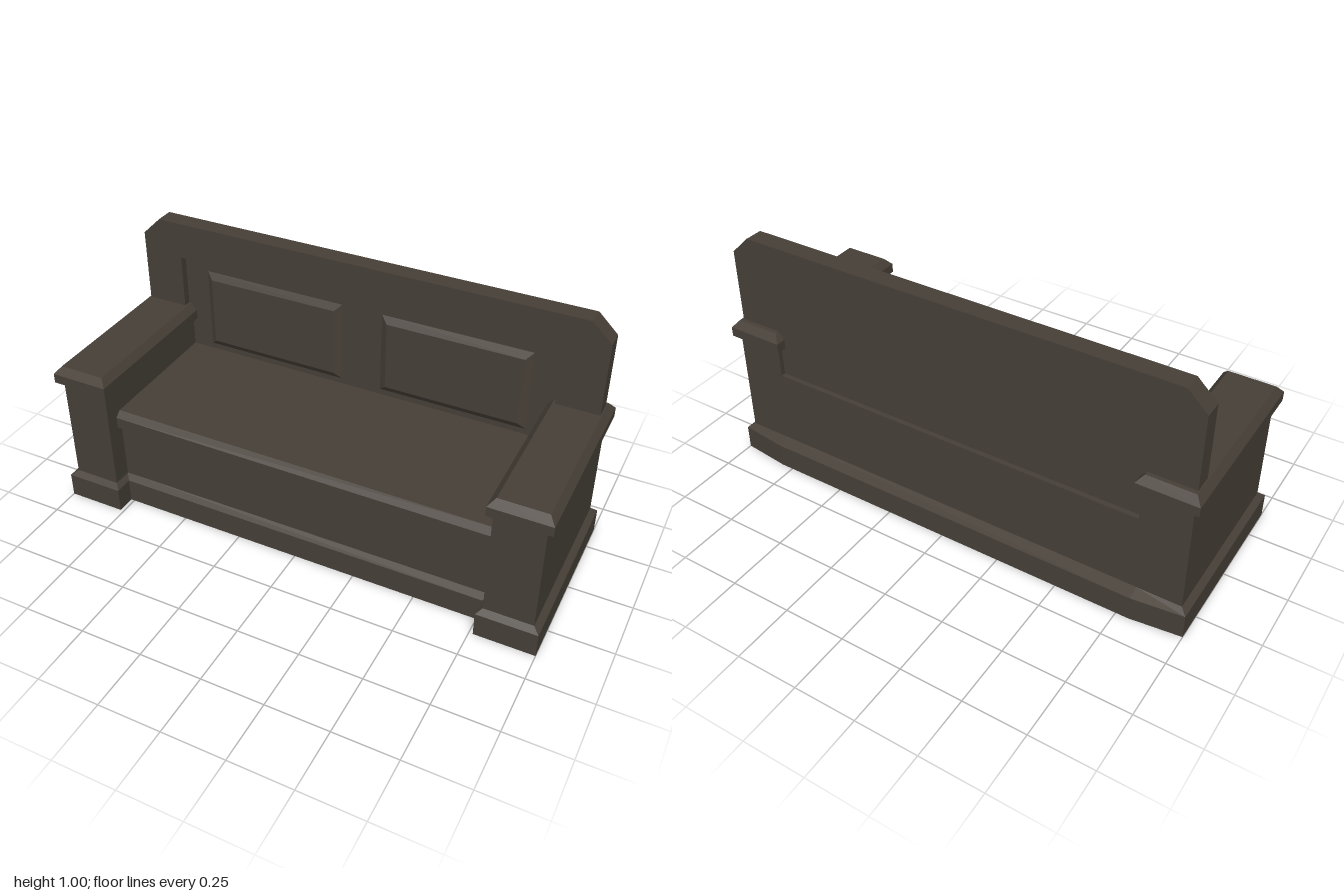
import * as THREE from 'three';

// Walls through rings of [x, z] points at rising heights; convex rings may be closed at the ends
function loft(rings, heights, closed = false) {
  const n = rings[0].length, position = [], index = [];
  rings.forEach((ring, r) => ring.forEach(([x, z]) => position.push(x, heights[r], z)));
  for (let r = 0; r < rings.length - 1; r++) {
    for (let i = 0; i < n; i++) {
      const j = (i + 1) % n, a = r * n + i, b = r * n + j;
      index.push(a, b + n, b, a, a + n, b + n);
    }
  }
  if (closed) {
    const top = (rings.length - 1) * n;
    for (let i = 1; i < n - 1; i++) index.push(0, i, i + 1, top, top + i + 1, top + i);
  }
  let geometry = new THREE.BufferGeometry();
  geometry.setAttribute('position', new THREE.Float32BufferAttribute(position, 3));
  geometry.setIndex(index);
  geometry = geometry.toNonIndexed();
  geometry.computeVertexNormals();
  return geometry;
}

const rect = (x0, x1, z0, z1, inset = 0) => [
  [x1 - inset, z0 + inset], [x1 - inset, z1 - inset],
  [x0 + inset, z1 - inset], [x0 + inset, z0 + inset]];

const mirrorOutline = half => [...half, ...half.map(([x, z]) => [-x, z]).reverse()];

export function createModel() {
  const group = new THREE.Group();
  const wood = new THREE.MeshStandardMaterial({ color: 0x463f37, side: THREE.DoubleSide, flatShading: true });
  wood.name = 'darkWood';
  const add = (name, geometry) => {
    const mesh = new THREE.Mesh(geometry, wood);
    mesh.name = name;
    group.add(mesh);
    return mesh;
  };

  // Hollow base, open below, with a plinth stepping out around it
  const plinth = mirrorOutline([[0.8, -0.385], [1, -0.362], [1, 0.385], [0.765, 0.385], [0.765, 0.31]]);
  const body = mirrorOutline([[0.8, -0.34], [0.975, -0.34], [0.975, 0.362], [0.785, 0.362], [0.785, 0.285]]);
  add('base', loft([plinth, plinth, body, body], [0, 0.1, 0.118, 0.355]));

  // Seat slab with a chamfered front edge, drawn as a side profile
  const profile = new THREE.Shape([[-0.34, 0.355], [0.3, 0.355], [0.31, 0.363], [0.31, 0.41], [0.285, 0.432], [-0.34, 0.432]]
    .map(([z, y]) => new THREE.Vector2(-z, y)));
  const seat = new THREE.ExtrudeGeometry(profile, { depth: 1.57, bevelEnabled: false });
  seat.translate(0, 0, -0.785).rotateY(Math.PI / 2);
  add('seat', seat);

  for (const side of [1, -1]) {
    const label = side > 0 ? 'left' : 'right';
    const xs = (a, b) => side > 0 ? [a, b] : [-b, -a];

    // Arm above the seat line, and its chamfered cap
    const arm = rect(...xs(0.785, 0.975), -0.34, 0.362);
    add(label + 'Arm', loft([arm, arm], [0.355, 0.556]));
    const cap = inset => rect(...xs(0.765, 1), -0.362, 0.385, inset);
    add(label + 'ArmCap', loft([cap(0.02), cap(0), cap(0), cap(0.025)], [0.552, 0.559, 0.598, 0.627], true));

    // Raised panel in the backrest
    const field = inset => rect(-0.305, 0.305, -0.172, 0.172, inset);
    const panel = loft([field(0), field(0.028)], [0, 0.018], true);
    panel.rotateX(Math.PI / 2).translate(side * 0.39, 0.628, -0.276);
    add(label + 'BackPanel', panel);
  }

  // Backrest frame with clipped corners and an opening down to the seat
  const frame = new THREE.Shape([[-0.97, 0.43], [-0.8, 0.43], [-0.8, 0.852], [0.8, 0.852], [0.8, 0.43], [0.97, 0.43],
    [0.97, 0.928], [0.892, 1.003], [-0.892, 1.003], [-0.97, 0.928]].map(([x, y]) => new THREE.Vector2(x, y)));
  add('backrestFrame', new THREE.ExtrudeGeometry(frame, { depth: 0.075, bevelEnabled: false }).translate(0, 0, -0.32));

  // Recessed board filling the opening
  add('backrestBoard', new THREE.BoxGeometry(1.6, 0.422, 0.044).translate(0, 0.641, -0.298));

  return group;
}
